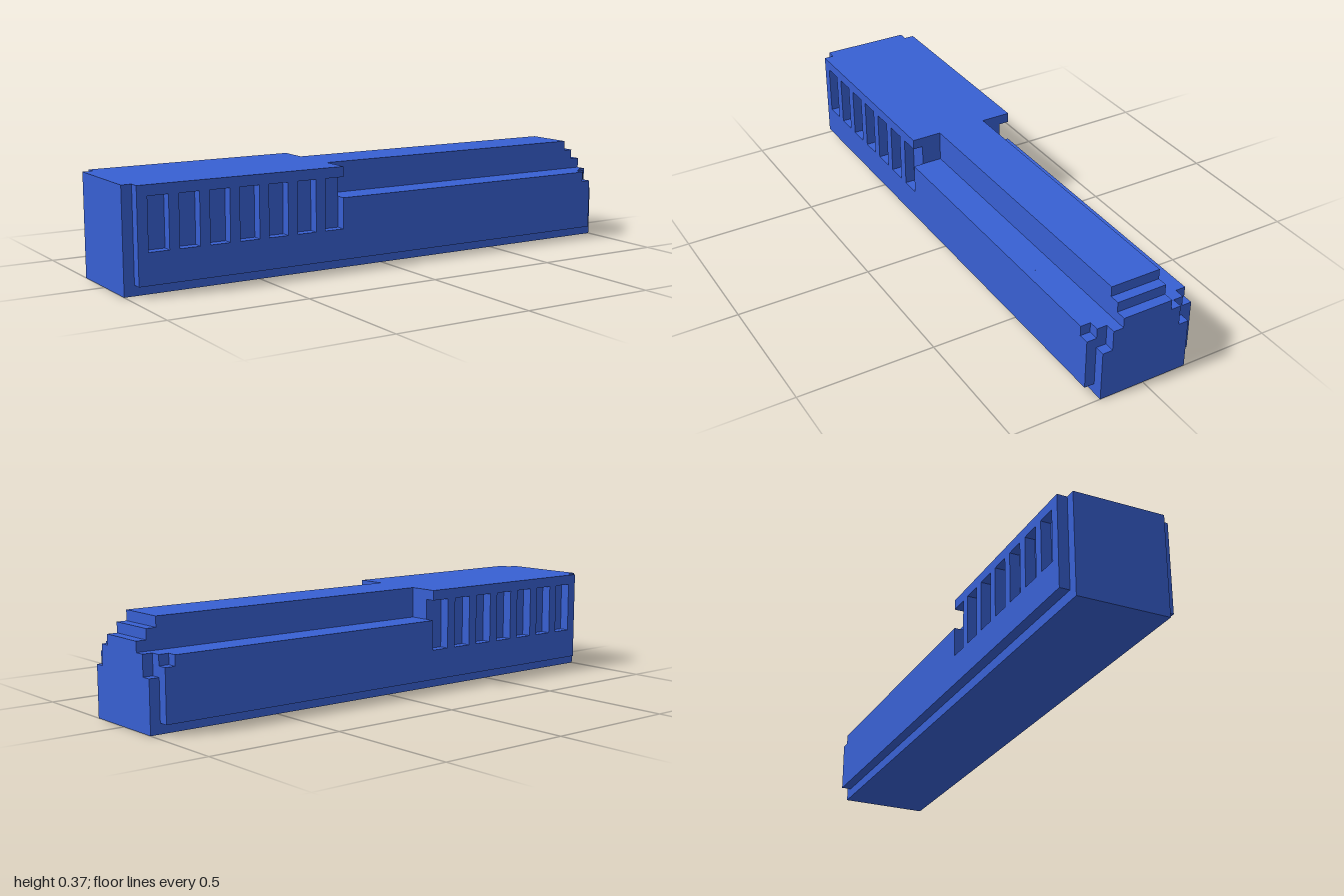
import * as THREE from 'three';

const U = 1 / 27; // one grid step of the stepped design

export function createModel() {
  const group = new THREE.Group();
  const blue = new THREE.MeshStandardMaterial({ color: 0x3860d3 });
  blue.name = 'blue';

  const scaled = (pts) => pts.map(([x, y]) => new THREE.Vector2(x * U, y * U));

  // Side profile given in grid steps, extruded from z0 to z1
  function slab(name, pts, z0, z1, holes = []) {
    const shape = new THREE.Shape(scaled(pts));
    for (const h of holes) shape.holes.push(new THREE.Path(scaled(h)));
    const geo = new THREE.ExtrudeGeometry(shape, { depth: (z1 - z0) * U, bevelEnabled: false });
    geo.translate(0, 0, z0 * U);
    const mesh = new THREE.Mesh(geo, blue);
    mesh.name = name;
    group.add(mesh);
  }

  // Main body: tall rear block, lower front run
  slab('body', [[-27, 0], [27, 0], [27, 5], [26, 5], [26, 7], [-5, 7], [-5, 10], [-27, 10]], -4.5, 4.5);

  // Narrowed upper part of the nose
  slab('noseStep', [[26, 5], [27, 5], [27, 7], [26, 7]], -3.5, 3.5);

  // Raised rail along the top, stepping down at the nose
  slab('topRail', [[-5, 7], [27, 7], [27, 8], [26, 8], [26, 9], [25, 9], [25, 10], [-5, 10]], -2.5, 2.5);

  // Side panels with six closed slots and a seventh open to the front
  const slots = [];
  for (let i = 0; i < 6; i++) {
    const x = -25 + i * 3;
    slots.push([[x, 4], [x, 9], [x + 2, 9], [x + 2, 4]]);
  }
  const panel = [
    [-26, 1], [26, 1], [26, 6], [25, 6], [25, 7], [-5, 7], [-5, 4],
    [-7, 4], [-7, 9], [-5, 9], [-5, 10], [-26, 10],
  ];
  slab('frontSidePanel', panel, 4.5, 5.5, slots);
  slab('backSidePanel', panel, -5.5, -4.5, slots);

  // Overhang above the open slots is part of each panel
  return group;
}
